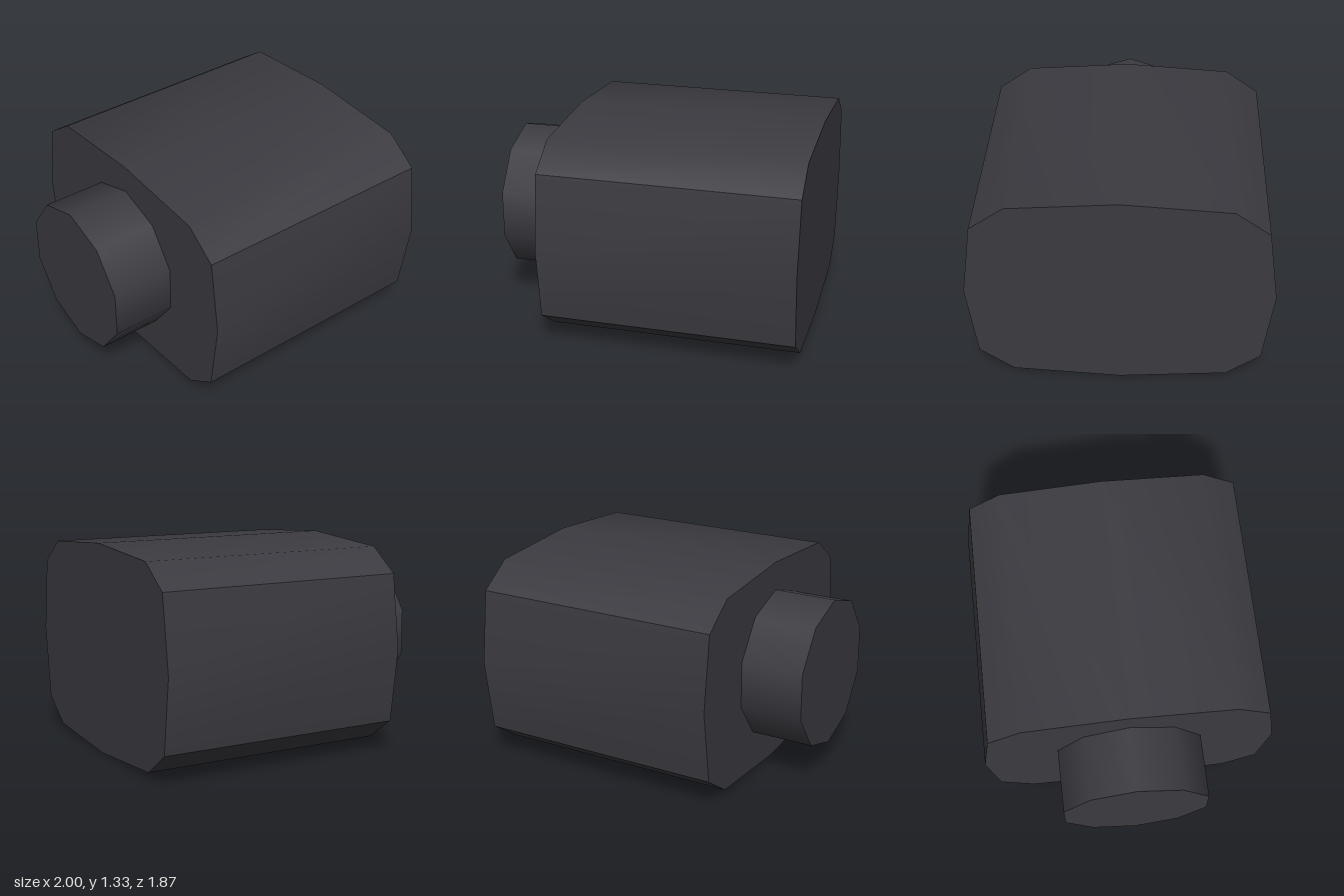
import * as THREE from 'three';
import { toCreasedNormals } from 'three/addons/utils/BufferGeometryUtils.js';

export function createModel() {
  const group = new THREE.Group();
  const darkGrey = new THREE.MeshStandardMaterial({ color: 0x3a3a40 });
  darkGrey.name = 'darkGrey';
  const midY = 0.667;

  // Body: a bulged, chamfered rectangle extruded along x
  const quarter = [[0.933, 0], [0.87, 0.47], [0.66, 0.62], [0, 0.665]];
  const half = [...quarter, ...quarter.slice(0, 3).reverse().map(([z, y]) => [-z, y])];
  const outline = [...half, ...half.slice(1, 6).reverse().map(([z, y]) => [z, -y])];
  const shape = new THREE.Shape(outline.map(([z, y]) => new THREE.Vector2(z, y + midY)));
  const bodyGeometry = new THREE.ExtrudeGeometry(shape, { depth: 1.6, bevelEnabled: false });
  bodyGeometry.rotateY(Math.PI / 2).translate(-0.6, 0, 0);
  // Only the lower chamfer edges and the end faces stay sharp
  const body = new THREE.Mesh(toCreasedNormals(bodyGeometry, 0.7), darkGrey);
  body.name = 'body';
  group.add(body);

  // Neck: smooth ten-sided stub on the right end, one corner pointing up
  const neckGeometry = new THREE.CylinderGeometry(0.48, 0.48, 0.4, 10);
  neckGeometry.rotateY(Math.PI / 2).rotateZ(Math.PI / 2);
  const neck = new THREE.Mesh(neckGeometry, darkGrey);
  neck.name = 'neck';
  neck.position.set(-0.8, midY + 0.003, 0);
  group.add(neck);

  return group;
}
